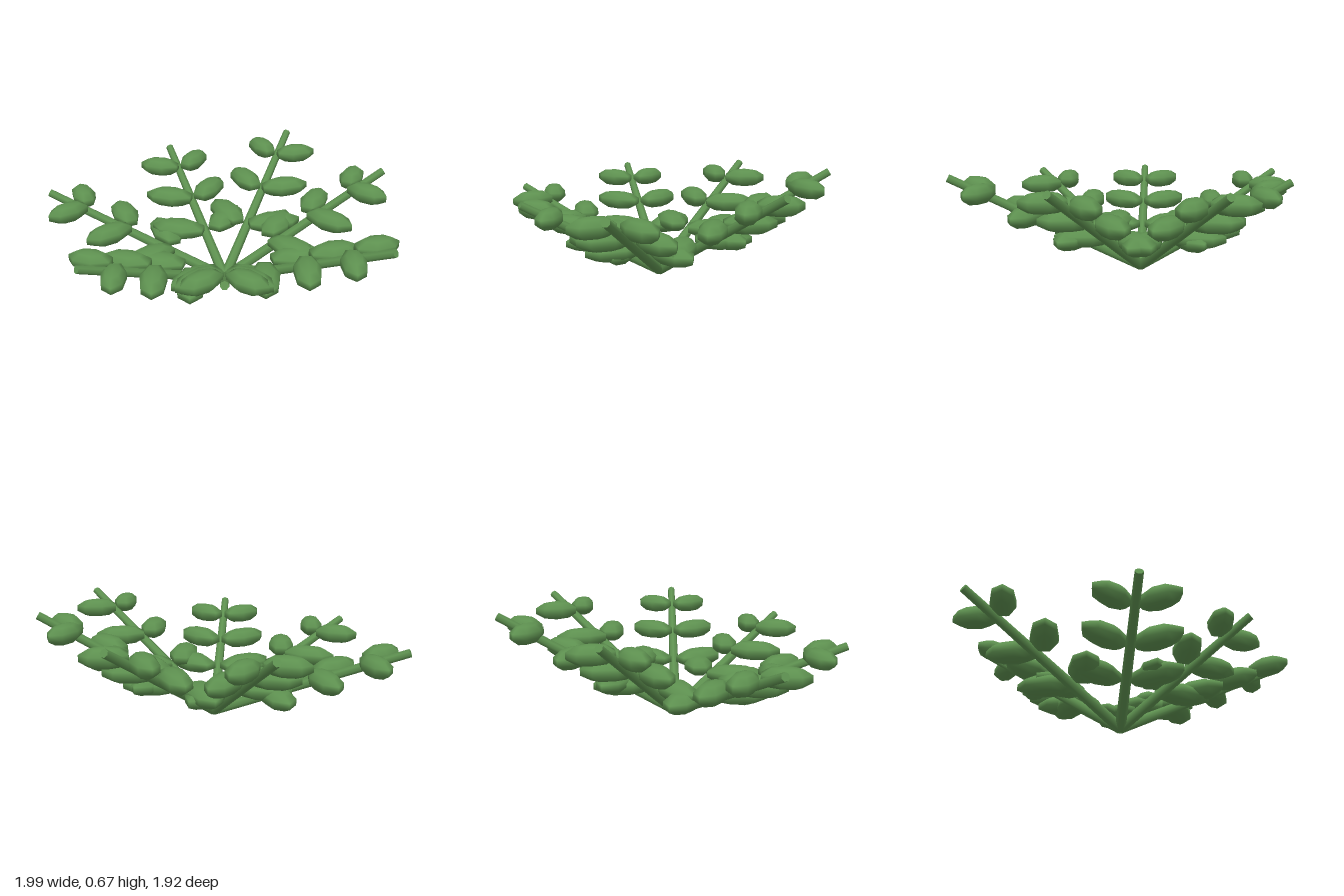
import * as THREE from 'three';

const root = new THREE.Vector3(-0.01, 0.015, -0.065);

// Tip of each stem, going round the plant
const tips = [
  [0.505, 0.595, 0.935],
  [-0.365, 0.51, 0.725],
  [-0.98, 0.455, 0.175],
  [-0.905, 0.485, -0.755],
  [-0.025, 0.575, -0.95],
  [0.77, 0.635, -0.725],
  [0.985, 0.64, 0.125],
];

// Leaf pairs: place along stem, sideways offset, half length, height, width
const pairs = [
  { t: 0.38, side: 0.165, size: [0.185, 0.06, 0.095] },
  { t: 0.615, side: 0.14, size: [0.167, 0.062, 0.084] },
  { t: 0.85, side: 0.122, size: [0.14, 0.06, 0.075] },
];
const leafAngle = 0.92;

export function createModel() {
  const plant = new THREE.Group();
  plant.name = 'plant';
  const green = new THREE.MeshStandardMaterial({ color: 0x5e9150 });
  green.name = 'leafGreen';
  const leafGeometry = new THREE.SphereGeometry(1, 7, 5);

  for (const p of tips) {
    const frond = new THREE.Group();
    frond.name = 'frond';
    const tip = new THREE.Vector3(...p);
    const axis = tip.clone().sub(root);

    // Tapered stem
    const stem = new THREE.Mesh(new THREE.CylinderGeometry(0.024, 0.033, axis.length(), 7), green);
    stem.name = 'stem';
    stem.position.copy(root).addScaledVector(axis, 0.5);
    stem.quaternion.setFromUnitVectors(new THREE.Vector3(0, 1, 0), axis.clone().normalize());
    frond.add(stem);

    // Level leaves in mirrored pairs, angled outward
    const out = new THREE.Vector3(axis.x, 0, axis.z).normalize();
    for (const { t, side, size } of pairs) {
      for (const s of [-1, 1]) {
        const across = new THREE.Vector3(out.z * s, 0, -out.x * s);
        const dir = out.clone().multiplyScalar(Math.cos(leafAngle)).addScaledVector(across, Math.sin(leafAngle));
        const leaf = new THREE.Mesh(leafGeometry, green);
        leaf.name = s > 0 ? 'leftLeaf' : 'rightLeaf';
        leaf.scale.set(...size);
        leaf.rotation.y = Math.atan2(dir.z, -dir.x);
        leaf.position.copy(root).addScaledVector(axis, t).addScaledVector(across, side);
        leaf.position.y += 0.012;
        frond.add(leaf);
      }
    }
    plant.add(frond);
  }
  return plant;
}
